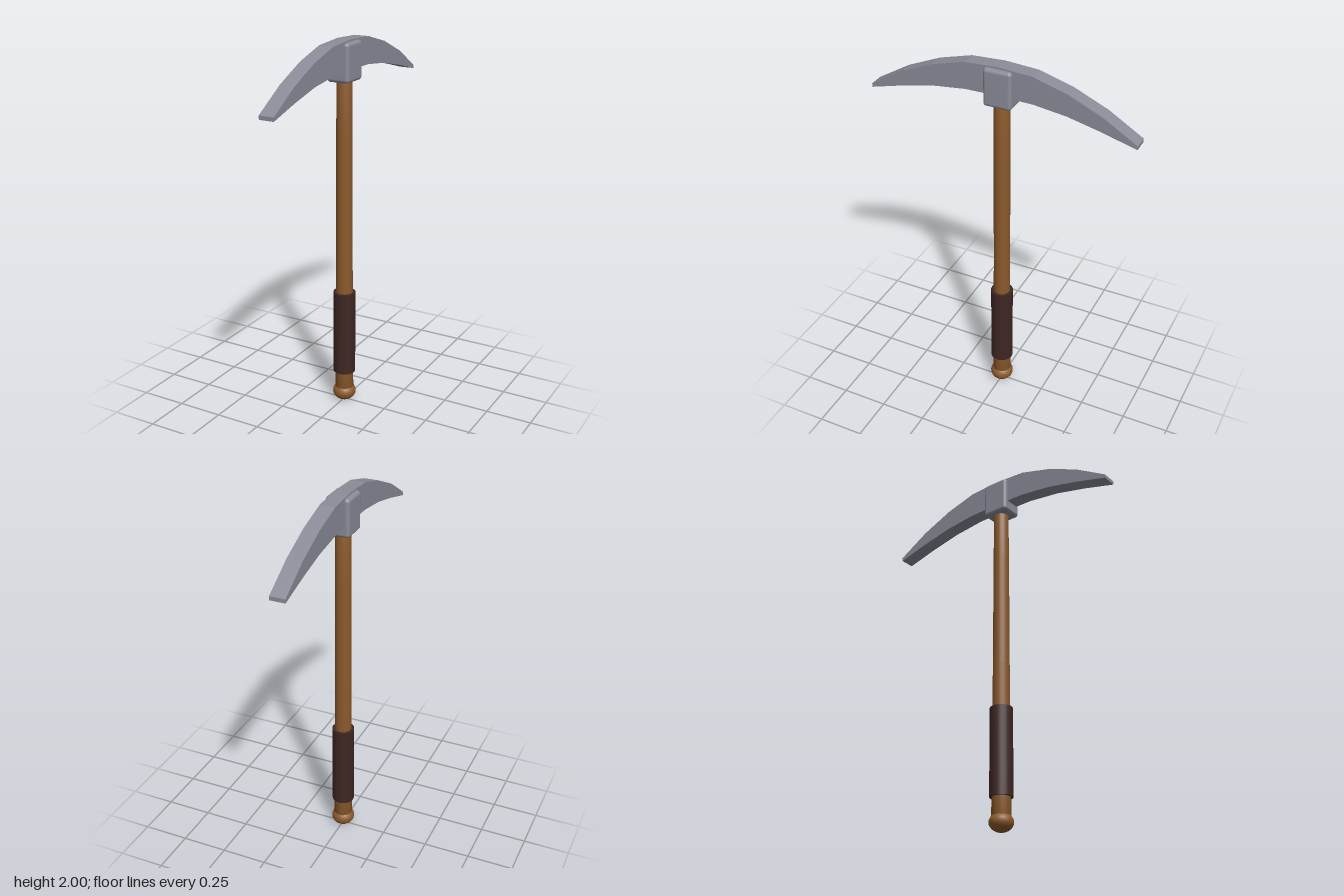
import * as THREE from 'three';
import { RoundedBoxGeometry } from 'three/addons/geometries/RoundedBoxGeometry.js';

export function createModel() {
  const material = (name, color) => {
    const m = new THREE.MeshStandardMaterial({ color });
    m.name = name;
    return m;
  };
  const wood = material('wood', 0x8b5a2b);
  const leather = material('dark leather', 0x3e2723);
  const steel = material('steel', 0x8a8d98);

  const model = new THREE.Group();
  model.name = 'pickaxe';
  const add = (name, geometry, mat, y = 0) => {
    const mesh = new THREE.Mesh(geometry, mat);
    mesh.name = name;
    mesh.position.y = y;
    model.add(mesh);
    return mesh;
  };

  // Slightly tapering shaft
  const shaft = [[0, 0.05], [0.05, 0.05], [0.048, 0.26], [0.044, 0.89], [0.042, 1.52], [0.04, 1.85], [0, 1.85]];
  add('handle', new THREE.LatheGeometry(shaft.map(([r, y]) => new THREE.Vector2(r, y)), 20), wood);

  // Flattened end knob
  const knob = new THREE.SphereGeometry(0.063, 20, 14);
  knob.scale(1, 0.8, 1);
  add('pommel', knob, wood, 0.05);

  // Wrapped grip
  add('grip', new THREE.CylinderGeometry(0.06, 0.06, 0.47, 20), leather, 0.41);

  // Collar joining head and shaft
  add('collar', new RoundedBoxGeometry(0.126, 0.2, 0.15, 3, 0.018), steel, 1.89);

  // Curved head: half profile as [z, top, bottom], mirrored front to back
  const half = [[0, 2, 1.85], [0.177, 1.99, 1.847], [0.353, 1.94, 1.825], [0.53, 1.863, 1.785], [0.707, 1.757, 1.737]];
  const profile = [...half.slice(1).reverse().map(([z, t, b]) => [-z, t, b]), ...half];
  const outline = [
    ...profile.map(([z, , b]) => new THREE.Vector2(z, b)),
    ...profile.slice().reverse().map(([z, t]) => new THREE.Vector2(z, t)),
  ];
  const head = new THREE.ExtrudeGeometry(new THREE.Shape(outline), { depth: 0.08, bevelEnabled: false });
  head.translate(0, 0, -0.04);
  head.rotateY(-Math.PI / 2);
  add('pickHead', head, steel);

  return model;
}
